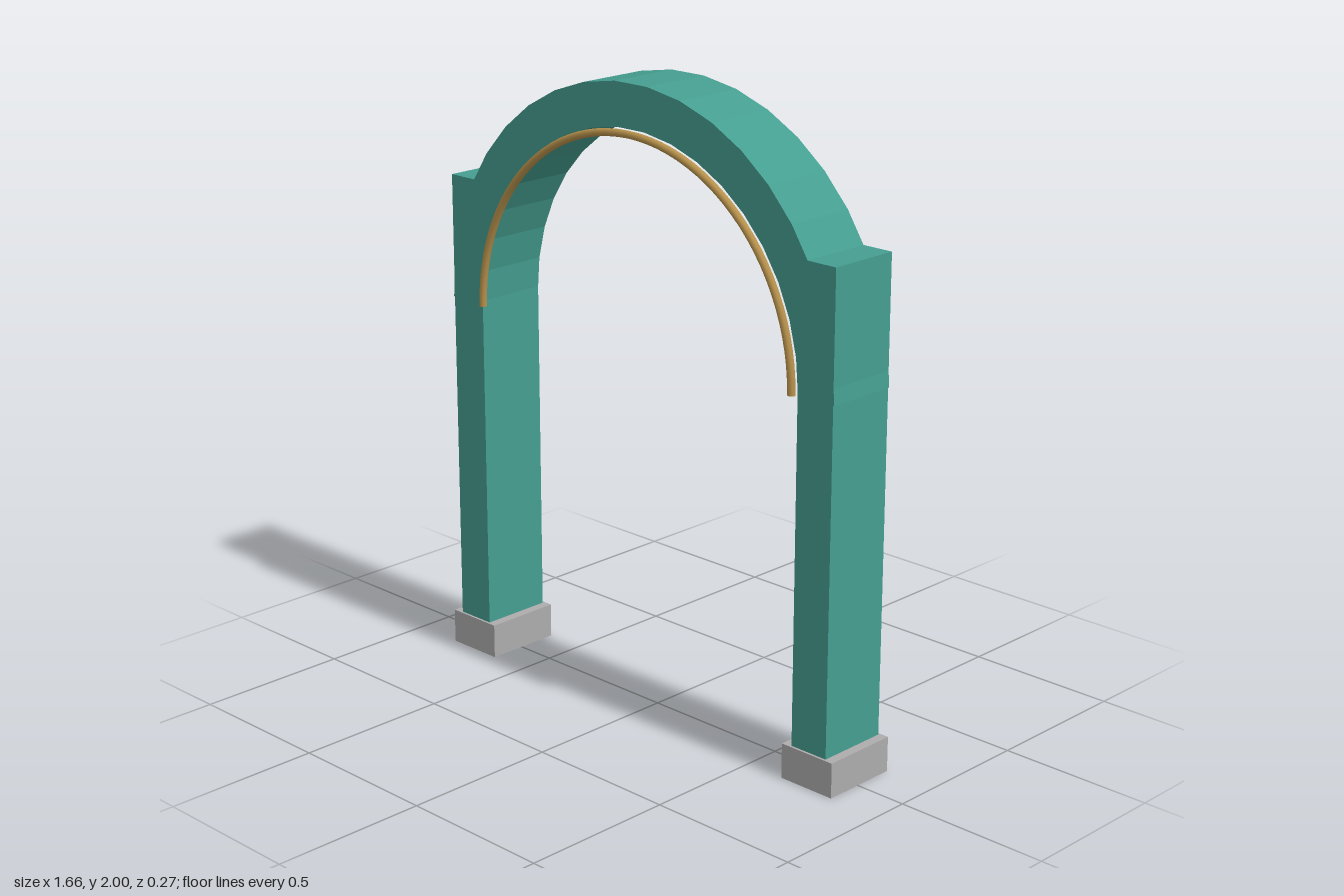
import * as THREE from 'three';

export function createModel() {
  const model = new THREE.Group();
  model.name = 'archway';
  const teal = new THREE.MeshStandardMaterial({ name: 'teal paint', color: 0x459e90 });
  const gold = new THREE.MeshStandardMaterial({ name: 'gold trim', color: 0xb8924c });
  const grey = new THREE.MeshStandardMaterial({ name: 'grey stone', color: 0xaeacac });

  const springY = 1.2, outerR = 0.798, innerR = 0.665;
  const backZ = -0.127, depth = 0.239, midZ = backZ + depth / 2;

  function add(name, geometry, material, x, y, z) {
    const mesh = new THREE.Mesh(geometry, material);
    mesh.name = name;
    mesh.position.set(x, y, z);
    model.add(mesh);
  }

  // Pillars on stone feet, mirrored left and right
  for (const [side, s] of [['left', 1], ['right', -1]]) {
    add(side + 'Pillar', new THREE.BoxGeometry(outerR - innerR, 1.598, depth), teal,
      s * (outerR + innerR) / 2, 0.801, midZ);
    add(side + 'Foot', new THREE.BoxGeometry(0.195, 0.112, 0.255), grey,
      s * 0.7315, 0.056, -0.0075);
  }

  // Faceted half-ring arch between the pillars
  const segments = 19;
  const ring = (r, reverse) => Array.from({ length: segments + 1 }, (_, i) => {
    const a = Math.PI * (reverse ? segments - i : i) / segments;
    return new THREE.Vector2(r * Math.cos(a), r * Math.sin(a));
  });
  const archShape = new THREE.Shape([...ring(0.802, false), ...ring(innerR + 0.001, true)]);
  add('arch', new THREE.ExtrudeGeometry(archShape, { depth, bevelEnabled: false }), teal,
    0, springY, backZ);

  // Thin round trim along the front inner edge, with closed ends
  const trimR = 0.651, tubeR = 0.012, trimZ = 0.123;
  add('archTrim', new THREE.TorusGeometry(trimR, tubeR, 10, 48, Math.PI), gold, 0, springY, trimZ);
  for (const [side, s] of [['left', 1], ['right', -1]]) {
    const cap = new THREE.CircleGeometry(tubeR, 10).rotateX(Math.PI / 2);
    add(side + 'TrimEnd', cap, gold, s * trimR, springY, trimZ);
  }

  return model;
}
